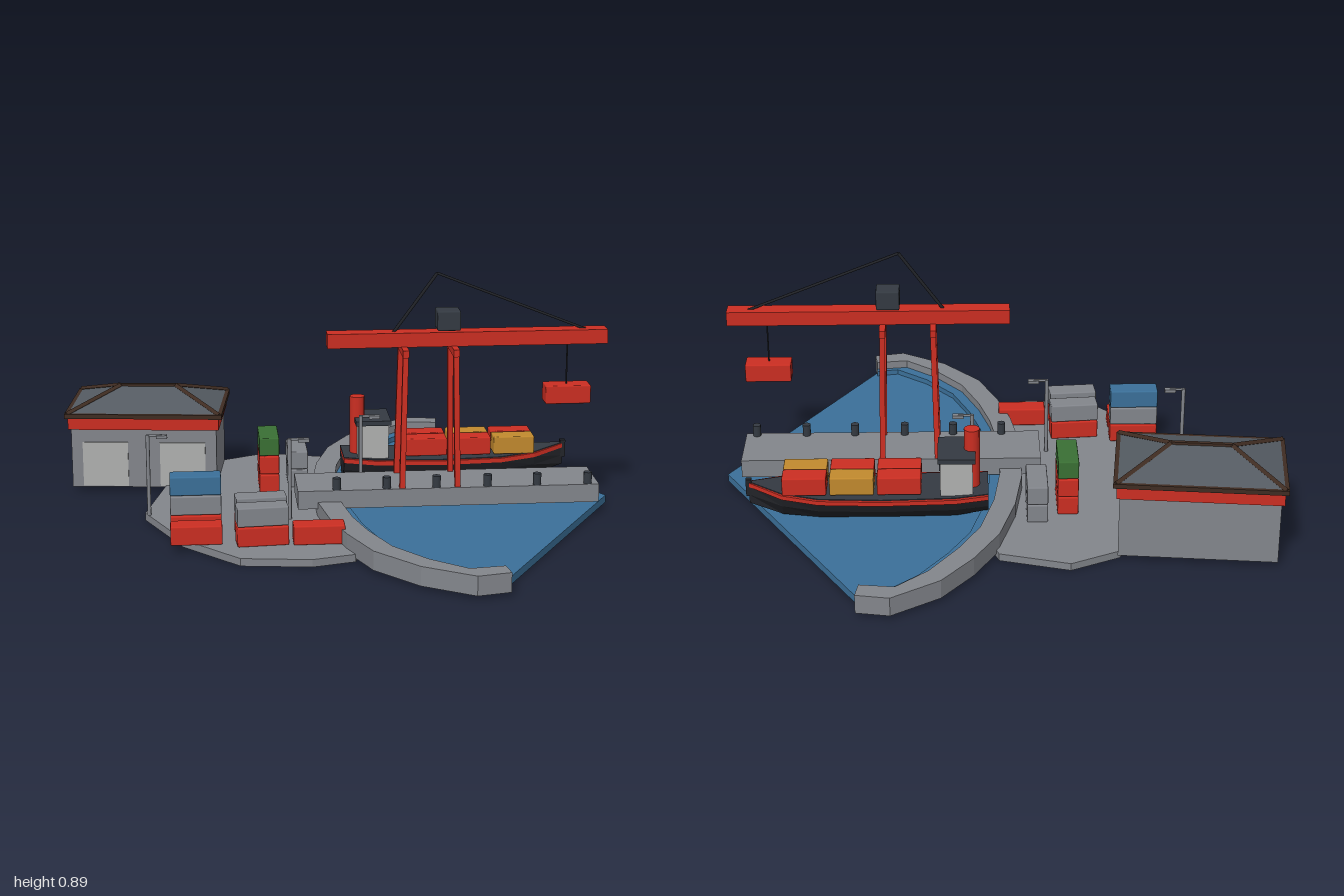
import * as THREE from 'three';
import { RoundedBoxGeometry } from 'three/addons/geometries/RoundedBoxGeometry.js';
import { ConvexGeometry } from 'three/addons/geometries/ConvexGeometry.js';

const mat = (name, color) => {
  const m = new THREE.MeshStandardMaterial({ color });
  m.name = name;
  return m;
};

export function createModel() {
  const concrete = mat('concrete grey', 0x83868c);
  const red = mat('signal red', 0xcc2e22);
  const blue = mat('water blue', 0x3b7099);
  const green = mat('container green', 0x3a7034);
  const amber = mat('container amber', 0xc28a2e);
  const dark = mat('charcoal', 0x343a42);
  const black = mat('hull black', 0x222429);
  const brown = mat('roof trim brown', 0x3f2c22);
  const slate = mat('roof slate', 0x545b62);
  const pale = mat('pale grey', 0xb0b1b0);

  const model = new THREE.Group();
  model.name = 'harbour';
  const group = (name, parent = model) => {
    const g = new THREE.Group();
    g.name = name;
    parent.add(g);
    return g;
  };
  const add = (name, geo, m, parent = model) => {
    const mesh = new THREE.Mesh(geo, m);
    mesh.name = name;
    parent.add(mesh);
    return mesh;
  };
  // Box given by its limits on each axis
  const box = (name, m, [x0, x1], [y0, y1], [z0, z1], parent) => {
    const mesh = add(name, new THREE.BoxGeometry(x1 - x0, y1 - y0, z1 - z0), m, parent);
    mesh.position.set((x0 + x1) / 2, (y0 + y1) / 2, (z0 + z1) / 2);
    return mesh;
  };
  // Square or round bar between two points
  const bar = (name, m, a, b, r, parent, sides = 4) => {
    const p = new THREE.Vector3(...a), q = new THREE.Vector3(...b);
    const geo = new THREE.CylinderGeometry(r, r, p.distanceTo(q), sides, 1);
    if (sides === 4) geo.rotateY(Math.PI / 4);
    const mesh = add(name, sides === 4 ? geo.toNonIndexed() : geo, m, parent);
    if (sides === 4) mesh.geometry.computeVertexNormals();
    mesh.position.copy(p).add(q).multiplyScalar(0.5);
    mesh.quaternion.setFromUnitVectors(new THREE.Vector3(0, 1, 0), q.sub(p).normalize());
    return mesh;
  };
  // Flat slab from an outline of [x, z] points
  const slab = (name, m, pts, y0, y1) => {
    const shape = new THREE.Shape(pts.map(([x, z]) => new THREE.Vector2(x, -z)));
    const geo = new THREE.ExtrudeGeometry(shape, { depth: y1 - y0, bevelEnabled: false });
    geo.rotateX(-Math.PI / 2).translate(0, y0, 0);
    return add(name, geo, m);
  };

  // Ground, basin and quay wall
  const outer = [[0.49, -0.925], [0.375, -0.945], [0.21, -0.84], [0.1, -0.7], [0.01, -0.54], [-0.05, -0.33], [-0.08, -0.12],
    [-0.08, 0.14], [-0.05, 0.34], [-0.005, 0.5], [0.067, 0.68], [0.206, 0.84], [0.375, 0.945], [0.49, 0.92]];
  const inner = [[0.48, -0.86], [0.36, -0.875], [0.25, -0.775], [0.15, -0.63], [0.075, -0.49], [0.025, -0.3], [0, -0.1],
    [0, 0.12], [0.03, 0.32], [0.07, 0.47], [0.135, 0.635], [0.24, 0.77], [0.36, 0.87], [0.48, 0.855]];
  const ledge = inner.map(([x, z], i) => [x + (i < 1 || i > 12 ? 0 : 0.037), z * 0.975]);
  slab('ground', concrete, [[-0.23, -0.655], [0.013, -0.585], [0.08, -0.4], [0.1, 0], [0.09, 0.3], [0.02, 0.56],
    [-0.13, 0.6], [-0.37, 0.57], [-0.56, 0.365], [-0.695, 0.06], [-0.62, -0.265], [-0.4, -0.575]], 0, 0.027);
  slab('water', blue, [...inner.map(([x, z]) => [x - 0.01, z * 1.03]), [1, 0]], 0.002, 0.03);
  slab('waterLedge', blue, [...inner, ...ledge.reverse()], 0.02, 0.05);
  slab('quayWall', concrete, [...outer, ...inner.slice().reverse()], 0.012, 0.08);

  // Pier with bollards
  box('pier', concrete, [-0.15, 0.94], [0.055, 0.122], [-0.068, 0.15]);
  for (const x of [-0.01, 0.17, 0.35, 0.535, 0.715, 0.9]) {
    bar('bollard', dark, [x, 0.12, 0.135], [x, 0.165, 0.135], 0.015, model, 10);
  }

  // Warehouse with hipped roof
  const house = group('warehouse');
  house.position.set(-0.682, 0, -0.447);
  house.rotation.y = -0.108;
  box('walls', concrete, [-0.272, 0.272], [0.02, 0.25], [-0.175, 0.175], house);
  box('redBand', red, [-0.282, 0.282], [0.245, 0.292], [-0.185, 0.185], house);
  box('eaves', brown, [-0.294, 0.294], [0.29, 0.307], [-0.195, 0.195], house);
  for (const x of [-0.145, 0.145]) box('door', pale, [x - 0.085, x + 0.085], [0.025, 0.195], [0.173, 0.18], house);
  const ridge = [[-0.105, 0.37, 0], [0.105, 0.37, 0]];
  const eaves = [];
  for (const sx of [-1, 1]) for (const sz of [-1, 1]) eaves.push([sx * 0.285, 0.305, sz * 0.188]);
  add('roof', new ConvexGeometry([...ridge, ...eaves].map((p) => new THREE.Vector3(...p))), slate, house);
  eaves.forEach((p) => bar('hipTrim', brown, p, ridge[p[0] < 0 ? 0 : 1], 0.01, house));
  bar('ridgeTrim', brown, ridge[0], ridge[1], 0.01, house);

  // Containers: x, z, level bottom, turned
  const container = (m, x, y, z, turn = 0, len = 0.178, parent = model) => {
    const mesh = add('container', new RoundedBoxGeometry(len, 0.068, 0.074, 1, 0.005), m, parent);
    mesh.position.set(x, y + 0.034, z);
    mesh.rotation.y = turn;
  };
  const stack = (x, z, turn, ...mats) => mats.forEach((m, i) => container(m, x, 0.027 + i * 0.071, z, turn));
  stack(-0.515, 0.277, 0, red, concrete, blue);
  stack(-0.515, 0.39, 0, red);
  stack(-0.29, 0.307, 0.08, red, concrete);
  stack(-0.29, 0.418, 0.08, red, concrete);
  stack(-0.095, 0.418, 0, red);
  stack(-0.237, -0.23, Math.PI / 2, red, red, green);
  stack(-0.127, -0.285, Math.PI / 2, concrete, concrete);

  // Lamp posts
  for (const [x, z] of [[-0.68, 0.082], [-0.18, 0.167], [0.1, -0.115]]) {
    const lamp = group('lampPost');
    bar('post', concrete, [x, 0.025, z], [x, 0.325, z], 0.007, lamp, 8);
    bar('arm', concrete, [x, 0.322, z], [x + 0.05, 0.322, z], 0.005, lamp, 6);
    box('lampHead', concrete, [x + 0.03, x + 0.07], [0.312, 0.324], [z - 0.01, z + 0.01], lamp);
  }

  // Gantry crane
  const crane = group('crane');
  const cz = 0.04;
  for (const sx of [-1, 1]) {
    const x = 0.326 + sx * 0.09;
    for (const sz of [-1, 1]) {
      bar('leg', red, [x + sx * 0.01, 0.12, cz + sz * 0.094], [x, 0.608, cz + sz * 0.077], 0.014, crane);
    }
    box('crossBeam', red, [x - 0.011, x + 0.011], [0.6, 0.626], [cz - 0.095, cz + 0.095], crane);
  }
  box('boom', red, [-0.038, 0.97], [0.624, 0.676], [cz - 0.032, cz + 0.032], crane);
  add('cab', new RoundedBoxGeometry(0.084, 0.072, 0.08, 1, 0.006), dark, crane).position.set(0.396, 0.718, cz);
  bar('mast', black, [0.2, 0.672, cz], [0.355, 0.885, cz], 0.006, crane, 6);
  bar('stay', black, [0.355, 0.885, cz], [0.895, 0.672, cz], 0.005, crane, 6);
  bar('hoistRope', black, [0.83, 0.468, cz], [0.83, 0.63, cz], 0.003, crane, 6);
  container(red, 0.832, 0.404, cz, 0, 0.165, crane);

  // Ship: stations of x, half width, deck height, keel height
  const ship = group('ship');
  ship.position.z = -0.283;
  const stations = [[0.045, 0.09, 0.132, 0.05], [0.16, 0.103, 0.124, 0.032], [0.42, 0.106, 0.12, 0.03],
    [0.64, 0.1, 0.123, 0.03], [0.77, 0.073, 0.132, 0.038], [0.89, 0.005, 0.148, 0.07]];
  const loft = (name, m, section) => {
    const rings = stations.map(([x, w, t, k]) => section(w, t, k).map(([z, y]) => [x, y, z]));
    const n = rings[0].length, pos = [];
    const tri = (...p) => p.forEach((v) => pos.push(...v));
    for (let i = 0; i < rings.length - 1; i++) {
      for (let j = 0; j < n; j++) {
        const a = rings[i][j], b = rings[i][(j + 1) % n], c = rings[i + 1][(j + 1) % n], d = rings[i + 1][j];
        tri(a, b, c);
        tri(a, c, d);
      }
    }
    const first = rings[0], last = rings[rings.length - 1];
    for (let j = 1; j < n - 1; j++) {
      tri(first[0], first[j + 1], first[j]);
      tri(last[0], last[j], last[j + 1]);
    }
    const geo = new THREE.BufferGeometry();
    geo.setAttribute('position', new THREE.Float32BufferAttribute(pos, 3));
    geo.computeVertexNormals();
    m.side = THREE.DoubleSide;
    add(name, geo, m, ship);
  };
  const rect = (w, y0, y1) => [[-w, y1], [-w, y0], [w, y0], [w, y1]].reverse();
  loft('hull', black, (w, t, k) => [[-w, t - 0.01], [-w * 0.85, t - 0.045], [-w * 0.4, k], [w * 0.4, k],
    [w * 0.85, t - 0.045], [w, t - 0.01]].reverse());
  loft('gunwale', red, (w, t) => rect(w + 0.003, t - 0.012, t + 0.004));
  loft('deck', dark, (w, t) => rect(Math.max(w - 0.008, 0.002), t, t + 0.007));
  box('bowPost', black, [0.88, 0.9], [0.1, 0.165], [-0.009, 0.009], ship);
  box('cabin', pale, [0.1, 0.214], [0.125, 0.262], [-0.078, 0.078], ship);
  box('cabinRoof', dark, [0.09, 0.222], [0.26, 0.278], [-0.088, 0.088], ship);
  box('cabinWindow', dark, [0.212, 0.217], [0.222, 0.246], [-0.065, 0.065], ship);
  bar('funnel', red, [0.102, 0.13, 0], [0.102, 0.355, 0], 0.028, ship, 12);
  const cargo = [[red, red], [amber, red], [red, amber]];
  cargo.forEach((row, i) => row.forEach((m, j) => {
    container(m, 0.358 + i * 0.166, 0.135, j ? 0.04 : -0.04, 0, 0.155, ship);
  }));
  return model;
}
